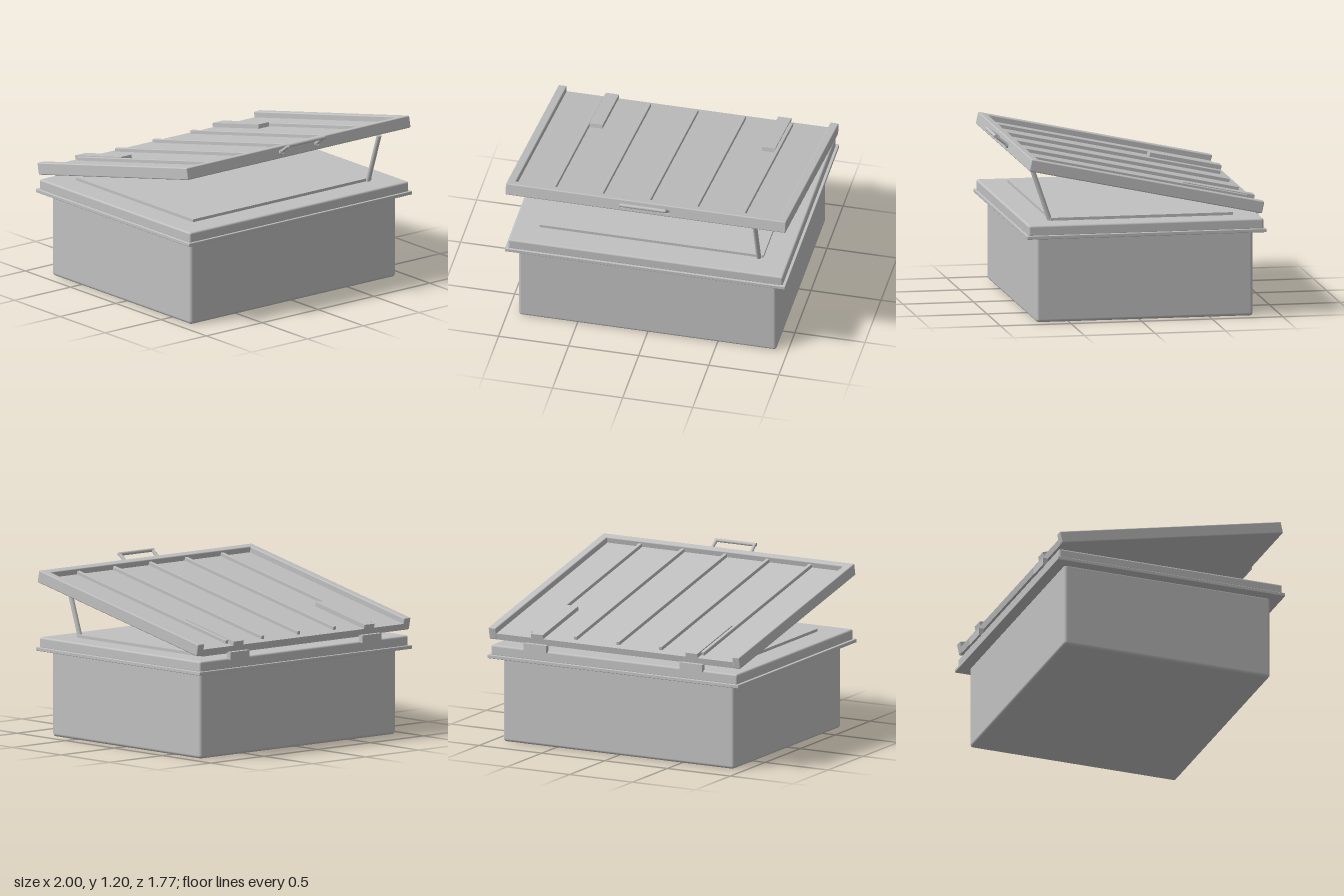
import * as THREE from 'three';
import { RoundedBoxGeometry } from 'three/addons/geometries/RoundedBoxGeometry.js';

const metal = new THREE.MeshStandardMaterial({ color: 0xc0c0c0 });
metal.name = 'light grey metal';

// Box given by its [min, max] on each axis, optionally with rounded edges
function box(parent, name, [x0, x1], [y0, y1], [z0, z1], r = 0) {
  const size = [x1 - x0, y1 - y0, z1 - z0];
  const geo = r ? new RoundedBoxGeometry(...size, 3, r) : new THREE.BoxGeometry(...size);
  const mesh = new THREE.Mesh(geo, metal);
  mesh.name = name;
  mesh.position.set((x0 + x1) / 2, (y0 + y1) / 2, (z0 + z1) / 2);
  parent.add(mesh);
  return mesh;
}

// Round bar between two points
function rod(parent, name, a, b, r) {
  const p = new THREE.Vector3(...a), q = new THREE.Vector3(...b);
  const dir = q.clone().sub(p);
  const mesh = new THREE.Mesh(new THREE.CylinderGeometry(r, r, dir.length(), 16), metal);
  mesh.name = name;
  mesh.position.copy(p).add(q).multiplyScalar(0.5);
  mesh.quaternion.setFromUnitVectors(new THREE.Vector3(0, 1, 0), dir.normalize());
  parent.add(mesh);
  return mesh;
}

export function createModel() {
  const model = new THREE.Group();
  model.name = 'hatchBox';

  // Tub, flange, curb and raised inner plate
  box(model, 'tub', [-0.92, 0.92], [0, 0.615], [-0.805, 0.73], 0.022);
  box(model, 'flange', [-1, 1], [0.6, 0.625], [-0.885, 0.81], 0.004);
  box(model, 'curb', [-0.98, 0.98], [0.615, 0.695], [-0.868, 0.795], 0.014);
  box(model, 'innerPlate', [-0.8, 0.8], [0.69, 0.715], [-0.685, 0.605]);

  // Lid, pivoting on its lower back edge
  const lid = new THREE.Group();
  lid.name = 'lid';
  lid.position.set(0, 0.733, -0.853);
  lid.rotation.x = -THREE.MathUtils.degToRad(12);
  model.add(lid);
  const length = 1.685, height = 0.086, panelTop = 0.045;
  box(lid, 'lidPanel', [-0.99, 0.99], [0, panelTop], [0.002, length - 0.01]);
  box(lid, 'lidFrontRim', [-1, 1], [0, height], [length - 0.06, length], 0.008);
  for (const s of [-1, 1]) {
    box(lid, 'lidSideRim', [s * 0.97 - 0.03, s * 0.97 + 0.03], [0, height], [0, length], 0.008);
    box(lid, 'hingeStrap', [s * 0.615 - 0.047, s * 0.615 + 0.047],
      [panelTop - 0.005, panelTop + 0.03], [0.002, 0.52]);
  }
  for (let i = -2; i <= 2; i++) {
    const x = i * 0.338;
    box(lid, 'lidRib', [x - 0.013, x + 0.013],
      [panelTop - 0.005, panelTop + 0.025], [0.055, length - 0.055], 0.004);
  }

  // Hinge blocks between curb and lid
  for (const s of [-1, 1]) {
    box(model, 'hingeBlock', [s * 0.62 - 0.09, s * 0.62 + 0.09], [0.685, 0.738], [-0.885, -0.85]);
  }

  // Prop holding the lid open
  rod(model, 'prop', [0.767, 0.69, 0.605], [0.767, 1.056, 0.73], 0.017);

  // Lifting handle on the lid's front edge
  const handle = new THREE.Group();
  handle.name = 'handle';
  model.add(handle);
  for (const s of [-1, 1]) {
    rod(handle, 'handleArm', [s * 0.158, 1.12, 0.78], [s * 0.152, 1.192, 0.872], 0.012);
    rod(handle, 'handleFoot', [s * 0.158, 1.12, 0.78], [s * 0.157, 1.13, 0.797], 0.018);
  }
  rod(handle, 'handleGrip', [-0.163, 1.191, 0.872], [0.163, 1.191, 0.872], 0.013);

  return model;
}
